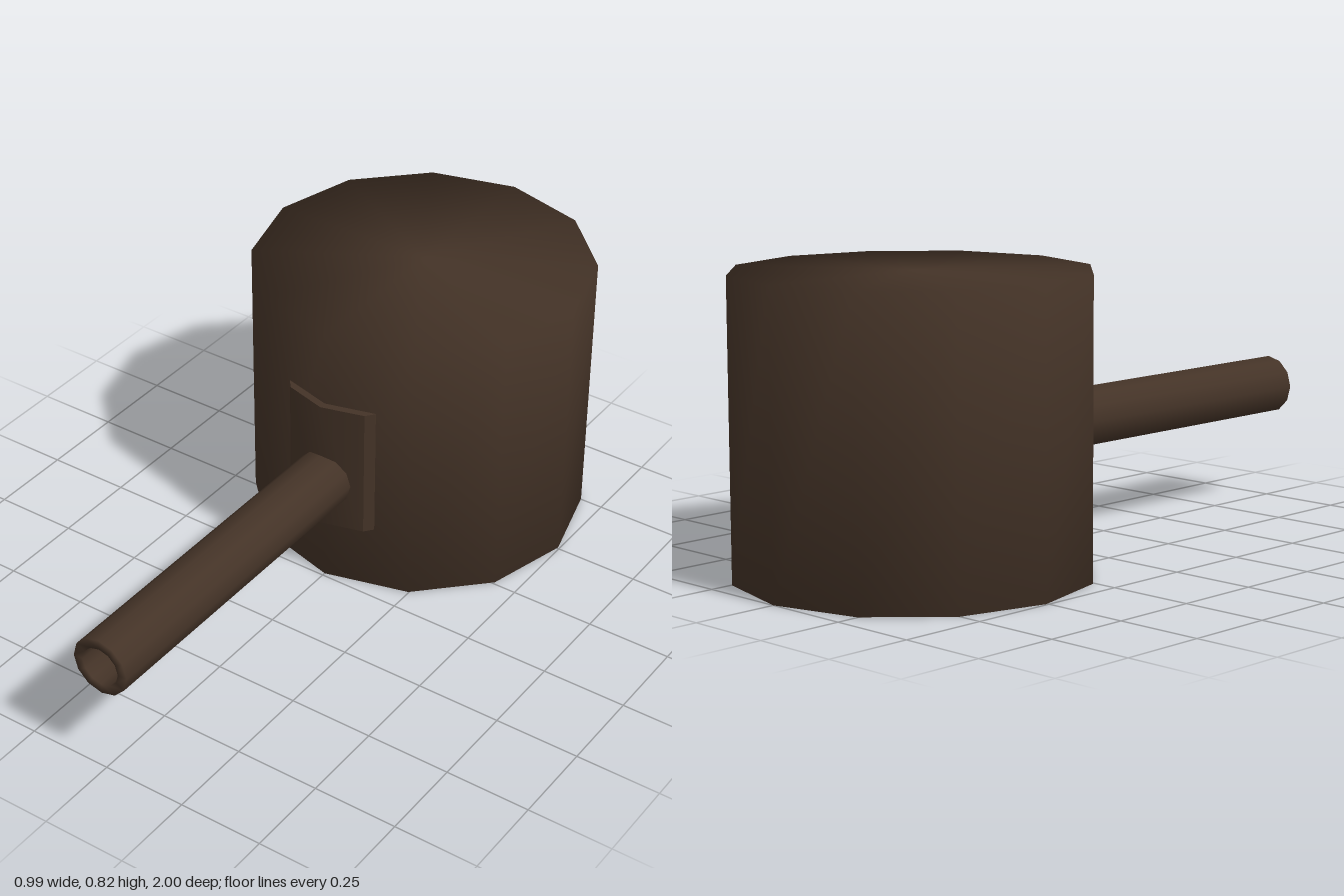
import * as THREE from 'three';
import { mergeVertices, toCreasedNormals } from 'three/addons/utils/BufferGeometryUtils.js';

// Share vertices across all edges so the shading runs smoothly over the rims
function softened(geometry) {
  geometry.deleteAttribute('normal');
  geometry.deleteAttribute('uv');
  const merged = mergeVertices(geometry, 1e-4);
  merged.computeVertexNormals();
  return merged;
}

export function createModel() {
  const group = new THREE.Group();
  const darkWood = new THREE.MeshStandardMaterial({ color: 0x443327 });
  darkWood.name = 'darkWood';

  const add = (name, geometry) => {
    const mesh = new THREE.Mesh(geometry, darkWood);
    mesh.name = name;
    group.add(mesh);
    return mesh;
  };

  // Twelve-sided drum body
  const body = add('body', softened(new THREE.CylinderGeometry(0.495, 0.495, 0.825, 12)));
  body.position.set(0, 0.4125, -0.505);

  // Mounting plate wrapped around the front corner, with bevelled side edges
  const profile = [
    [-0.145, 0.047], [-0.145, 0.1], [0.145, 0.1], [0.145, 0.047],
    [0.125, 0.022], [0, -0.012], [-0.125, 0.022],
  ].map(([x, y]) => new THREE.Vector2(x, y));
  const plateGeometry = new THREE.ExtrudeGeometry(new THREE.Shape(profile), {
    depth: 0.4, bevelEnabled: false,
  });
  plateGeometry.rotateX(-Math.PI / 2);
  const plate = add('mountingPlate', toCreasedNormals(plateGeometry, 0.56));
  plate.position.y = 0.2;

  // Long pipe with a recessed bore at its front end
  const pipeProfile = [
    [0, -0.02], [0.087, -0.02], [0.087, 1], [0.058, 1], [0.058, 0.9], [0, 0.9],
  ].map(([x, y]) => new THREE.Vector2(x, y));
  const pipe = add('pipe', new THREE.LatheGeometry(pipeProfile, 12));
  pipe.rotation.x = Math.PI / 2;
  pipe.position.y = 0.348;

  return group;
}
